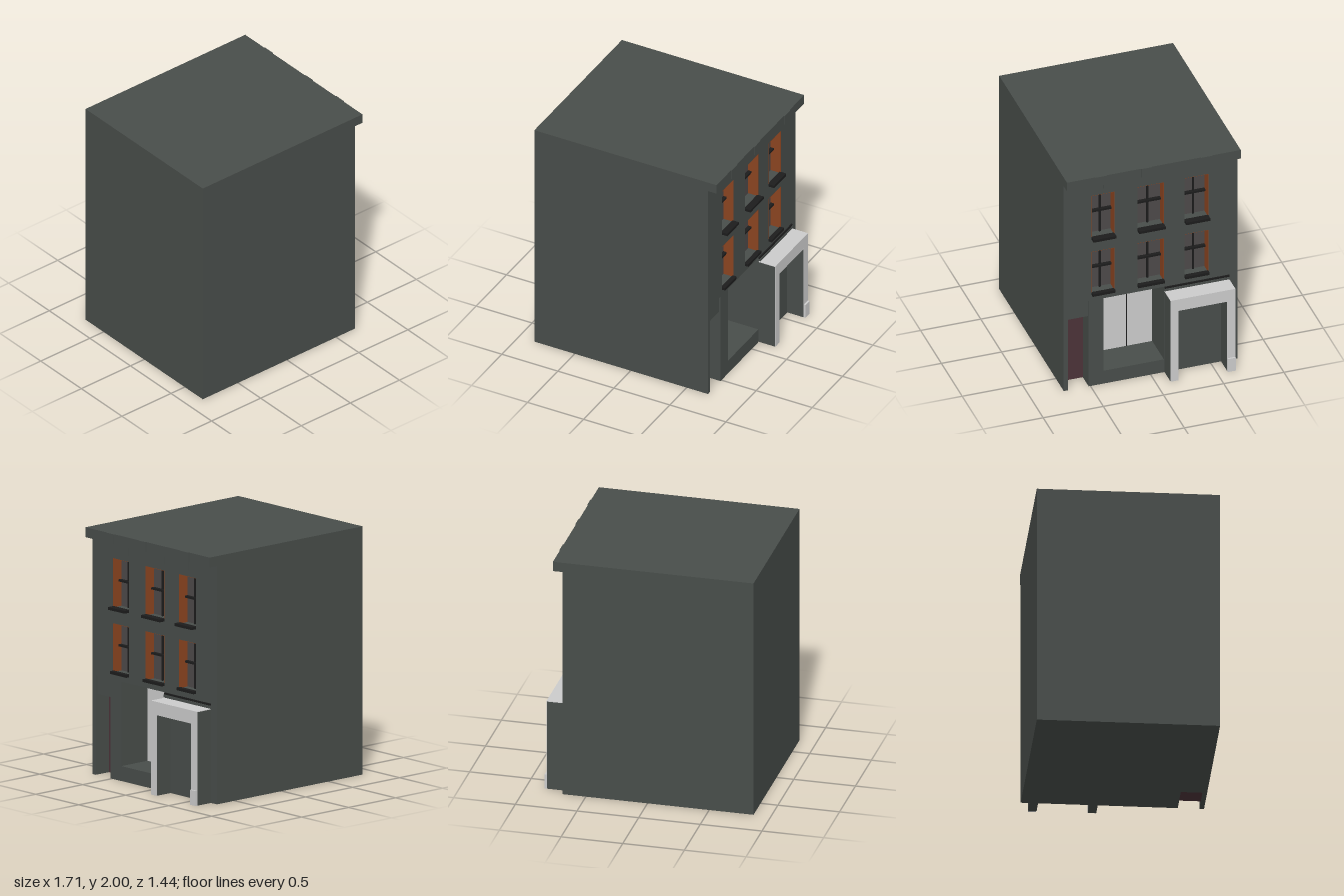
import * as THREE from 'three';

const mat = (color) => new THREE.MeshStandardMaterial({ color, flatShading: true });
const wall = mat(0x484d4a);
const pale = mat(0xcccccc);
const frame = mat(0x1c1c1c);
const glass = mat(0x4d4949);
const reveal = mat(0x8b4420);
const doorRed = mat(0x4b3238);

const FACE = 0.69;   // street wall plane, looking along +x
const BACK = 0.39;   // rear of the hollowed street wall

export function createModel() {
  const model = new THREE.Group();

  // Box from its extents along x, y and z
  function box(name, x0, x1, y0, y1, z0, z1, material, parent = model) {
    const mesh = new THREE.Mesh(new THREE.BoxGeometry(x1 - x0, y1 - y0, z1 - z0), material);
    mesh.position.set((x0 + x1) / 2, (y0 + y1) / 2, (z0 + z1) / 2);
    mesh.name = name;
    parent.add(mesh);
    return mesh;
  }

  const columns = [[0.3, 0.49], [-0.11, 0.11], [-0.48, -0.28]];
  const rows = [
    { y0: 0.85, y1: 1.255, sill: 0.718 },
    { y0: 1.37, y1: 1.78, sill: 0.738 },
  ];

  // Main block and overhanging roof slab
  box('mainBlock', -0.86, BACK, 0, 1.92, -0.722, 0.722, wall);
  box('roofCornice', -0.86, 0.767, 1.92, 2, -0.722, 0.722, wall);

  // Street wall, pierced by door, shop window and upper windows
  // (shape x runs along -z)
  const outline = [[-0.722, 0], [-0.685, 0], [-0.685, 0.8], [-0.515, 0.8],
    [-0.515, 0], [0.722, 0], [0.722, 1.92], [-0.722, 1.92]];
  const shape = new THREE.Shape(outline.map(([u, y]) => new THREE.Vector2(u, y)));
  function hole(z0, z1, y0, y1) {
    const path = new THREE.Path();
    path.moveTo(-z1, y0);
    path.lineTo(-z1, y1);
    path.lineTo(-z0, y1);
    path.lineTo(-z0, y0);
    path.closePath();
    shape.holes.push(path);
  }
  hole(-0.11, 0.39, 0.12, 0.8);
  for (const [z0, z1] of columns) for (const { y0, y1 } of rows) hole(z0, z1, y0, y1);
  const wallGeometry = new THREE.ExtrudeGeometry(shape, { depth: FACE - BACK, bevelEnabled: false });
  wallGeometry.rotateY(Math.PI / 2);
  wallGeometry.translate(BACK, 0, 0);
  const streetWall = new THREE.Mesh(wallGeometry, wall);
  streetWall.name = 'streetWall';
  model.add(streetWall);

  // Upper windows: glass, coloured reveals, glazing bars and sill
  for (const [z0, z1] of columns) {
    const zm = (z0 + z1) / 2;
    for (const { y0, y1, sill } of rows) {
      const win = new THREE.Group();
      win.name = 'window';
      model.add(win);
      const t = 0.003, xg = 0.6, ym = y0 + 0.55 * (y1 - y0) - 0.005;
      box('glass', xg - 0.01, xg, y0, y1, z0, z1, glass, win);
      box('sideReveal', xg, FACE - 0.001, y0, y1, z0, z0 + t, reveal, win);
      box('sideReveal', xg, FACE - 0.001, y0, y1, z1 - t, z1, reveal, win);
      box('headReveal', xg, FACE - 0.001, y1 - t, y1, z0, z1, reveal, win);
      box('innerLedge', xg, FACE, y0, y0 + 0.012, z0, z1, wall, win);
      box('verticalBar', xg, xg + 0.015, y0, y1, zm - 0.007, zm + 0.007, frame, win);
      box('crossBar', xg, xg + 0.03, ym - 0.008, ym + 0.008, z0, z1, frame, win);
      box('sill', FACE - 0.01, sill, y0, y0 + 0.022, z0, z1, frame, win);
    }
  }

  // Shallow blocks on the cornice and beneath it
  for (const [z0, z1] of [[0.39, 0.485], [0.015, 0.105], [-0.485, -0.39]]) {
    box('corniceBlock', 0.76, 0.773, 1.92, 2, z0, z1, wall);
  }
  for (const [z0, z1] of [[0.3, 0.39], [-0.11, 0.015], [-0.39, -0.28]]) {
    box('friezeBlock', FACE - 0.01, 0.695, 1.83, 1.92, z0, z1, wall);
  }

  // Side door set deep in its opening, with a panel above
  box('sideDoor', BACK, 0.55, 0, 0.65, 0.515, 0.685, doorRed);
  box('doorTransom', BACK, 0.675, 0.65, 0.8, 0.515, 0.685, wall);

  // Shop window: pale back panels and a thin divider
  box('shopBackPanel', BACK, 0.41, 0.12, 0.8, -0.11, 0.39, pale);
  box('shopDivider', BACK, 0.415, 0.12, 0.8, 0.1, 0.108, frame);

  // Entrance portal: dark posts and lintel, pale facing and cap
  const portal = new THREE.Group();
  portal.name = 'entrancePortal';
  model.add(portal);
  const face = 0.838, skin = 0.004, top = 0.757;
  for (const [z0, z1] of [[-0.653, -0.585], [-0.182, -0.115]]) {
    box('portalPost', FACE, face - skin, 0, 0.65, z0, z1, wall, portal);
    box('postFacing', face - skin, face, 0, 0.65, z0, z1, pale, portal);
  }
  box('portalLintel', FACE, face - skin, 0.65, top - skin, -0.653, -0.115, wall, portal);
  box('lintelFacing', face - skin, face, 0.65, top, -0.653, -0.115, pale, portal);
  box('portalCap', FACE, face - skin, top - skin, top, -0.653, -0.115, pale, portal);
  box('postPlinth', face, 0.853, 0, 0.12, -0.653, -0.588, pale, portal);
  box('portalMoulding', FACE, 0.705, 0.765, 0.785, -0.653, -0.115, wall, portal);
  box('portalMouldingTop', FACE, 0.7, 0.785, 0.8, -0.653, -0.115, frame, portal);

  return model;
}
